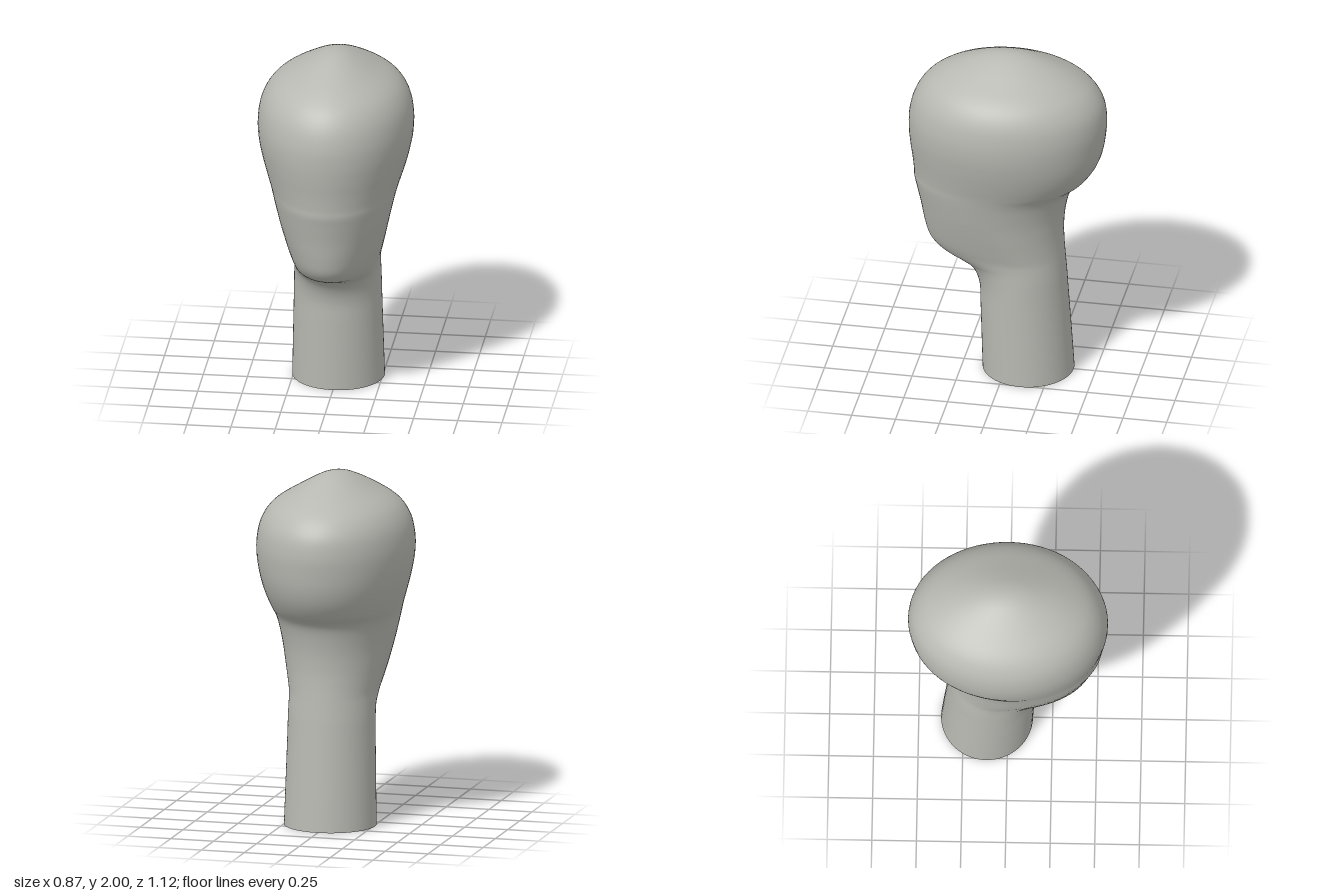
import * as THREE from 'three';
import { mergeVertices } from 'three/addons/utils/BufferGeometryUtils.js';

// Cross-sections: height, half width, front z, back z, z of the widest point
const neckSections = [
  [0, 0.26, 0.14, -0.375, -0.118],
  [0.2, 0.255, 0.146, -0.362, -0.108],
  [0.4, 0.25, 0.152, -0.348, -0.098],
  [0.53, 0.247, 0.157, -0.339, -0.092],
];
const headSections = [
  [0.62, 0.245, 0.185, -0.333, -0.09],
  [0.68, 0.243, 0.235, -0.328, -0.085],
  [0.72, 0.243, 0.315, -0.325, -0.075],
  [0.76, 0.246, 0.395, -0.322, -0.06],
  [0.82, 0.26, 0.447, -0.318, -0.03],
  [0.91, 0.282, 0.473, -0.316, 0.01],
  [1.02, 0.307, 0.493, -0.325, 0.05],
  [1.13, 0.332, 0.517, -0.35, 0.06],
  [1.19, 0.347, 0.53, -0.383, 0.05],
  [1.24, 0.362, 0.532, -0.445, 0.03],
  [1.32, 0.388, 0.54, -0.502, 0.01],
  [1.41, 0.413, 0.552, -0.537, 0],
  [1.51, 0.432, 0.56, -0.554, 0],
  [1.61, 0.436, 0.556, -0.56, 0],
  [1.71, 0.42, 0.53, -0.543, 0],
  [1.79, 0.381, 0.483, -0.493, 0],
  [1.85, 0.32, 0.417, -0.42, 0],
  [1.91, 0.22, 0.315, -0.315, 0],
  [1.96, 0.13, 0.198, -0.198, 0],
  [1.99, 0.062, 0.098, -0.098, 0],
  [2, 0, 0, 0, 0],
];

// Uniform Catmull-Rom between two sections
function blend(p0, p1, p2, p3, t) {
  return p1.map((b, k) => {
    const a = p0[k], c = p2[k], d = p3[k];
    return b + 0.5 * t * (c - a + t * (2 * a - 5 * b + 4 * c - d + t * (3 * (b - c) + d - a)));
  });
}

// Smooth closed skin through egg-shaped rings
function loft(sections, steps, sides) {
  const n = sections.length;
  const [y, w, f, b, c] = sections[n - 2];
  const beyond = [y, -w, -f, -b, c]; // mirrored past the apex for a round crown
  const at = (i) => (i < 0 ? sections[0] : i < n ? sections[i] : beyond);
  const rings = [];
  for (let i = 0; i < n - 1; i++) {
    for (let s = 0; s < steps; s++) {
      rings.push(blend(at(i - 1), at(i), at(i + 1), at(i + 2), s / steps));
    }
  }
  rings.push(sections[n - 1]);

  const positions = [];
  const index = [];
  rings.forEach(([ry, rw, front, back, mid], i) => {
    for (let j = 0; j < sides; j++) {
      const a = (j / sides) * Math.PI * 2;
      const s = Math.sin(a);
      positions.push(rw * Math.cos(a), ry, mid + s * (s > 0 ? front - mid : mid - back));
      if (i === rings.length - 1) continue;
      const p = i * sides + j, q = i * sides + ((j + 1) % sides);
      index.push(p, p + sides, q);
      if (i < rings.length - 2) index.push(q, p + sides, q + sides);
    }
  });
  const geometry = new THREE.BufferGeometry();
  geometry.setAttribute('position', new THREE.Float32BufferAttribute(positions, 3));
  geometry.setIndex(index);
  const merged = mergeVertices(geometry, 1e-5);
  merged.computeVertexNormals();
  return merged;
}

export function createModel() {
  const group = new THREE.Group();
  group.name = 'headForm';
  const clay = new THREE.MeshStandardMaterial({ color: 0xb8b8b2 });
  clay.name = 'grey clay';

  // Neck and head in one continuous skin
  const head = new THREE.Mesh(loft([...neckSections, ...headSections], 5, 72), clay);
  head.name = 'headAndNeck';
  group.add(head);

  // Flat underside of the neck
  const [, w, front, back] = neckSections[0];
  const base = new THREE.Mesh(new THREE.CircleGeometry(1, 72), clay);
  base.name = 'neckBase';
  base.geometry.rotateX(Math.PI / 2).scale(w, 1, (front - back) / 2);
  base.position.z = (front + back) / 2;
  group.add(base);

  return group;
}
